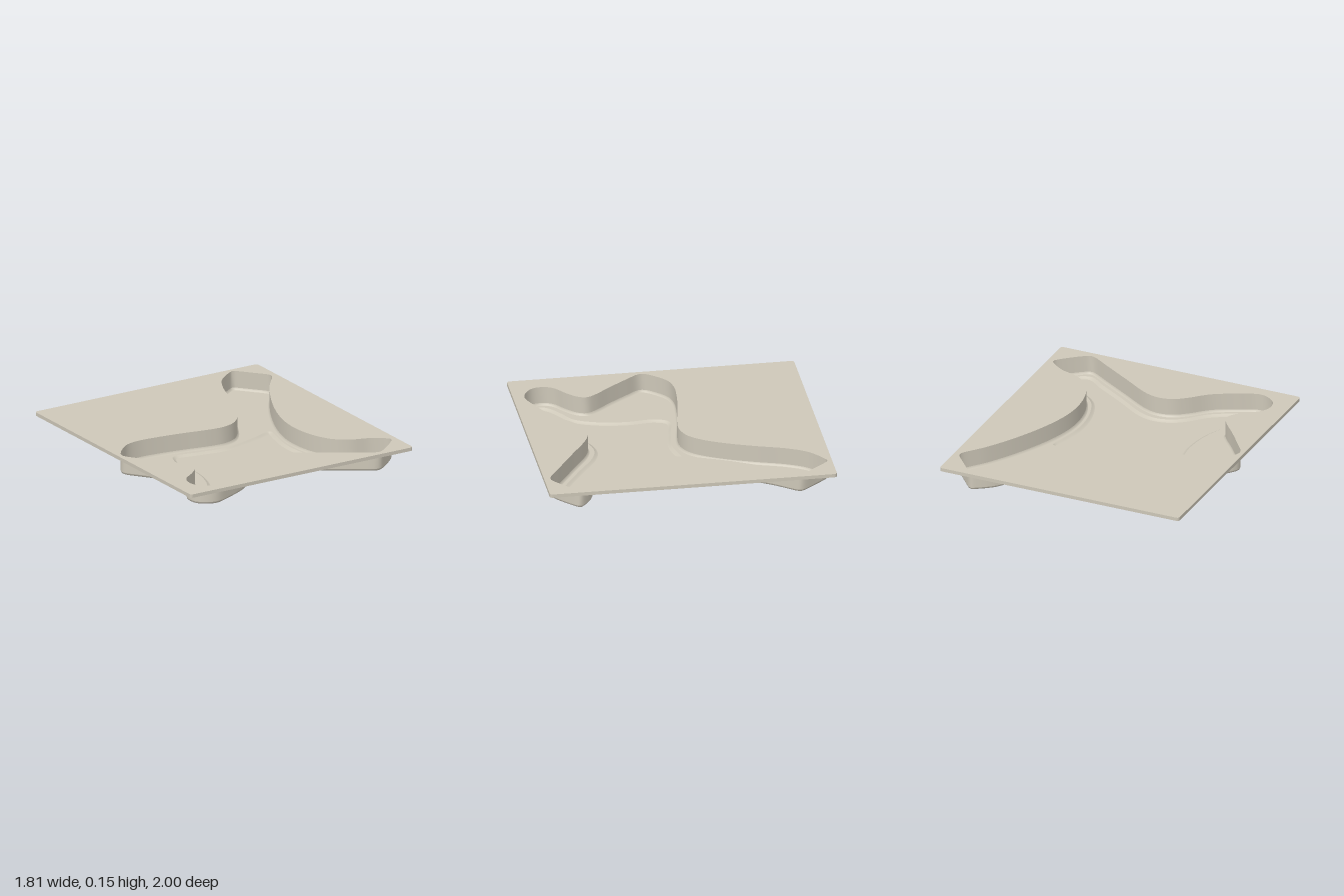
import * as THREE from 'three';

const TOP = 0.155, LIP = 0.13, FLOOR = 0.018, LOW = 0.004;

// Outline of the cavity as [x, z], counterclockwise seen from above
const CAVITY = [
  [0.68, -0.97], [0.66, -0.96], [0.53, -0.86], [0.45, -0.72], [0.38, -0.52], [0.3, -0.32], [0.21, -0.16],
  [0.13, -0.08], [0.03, -0.045], [-0.08, -0.05], [-0.3, -0.09], [-0.5, -0.115], [-0.62, -0.12],
  [-0.72, -0.1], [-0.8, -0.04], [-0.87, 0.05], [-0.87, 0.09], [-0.8, 0.19], [-0.7, 0.32],
  [-0.6, 0.44], [-0.57, 0.5], [-0.59, 0.56], [-0.66, 0.63], [-0.75, 0.7], [-0.78, 0.77],
  [-0.765, 0.85], [-0.7, 0.905], [-0.63, 0.92], [-0.5, 0.87], [-0.33, 0.78], [-0.2, 0.66],
  [-0.12, 0.605], [-0.02, 0.585], [0.08, 0.61], [0.3, 0.745], [0.5, 0.87], [0.64, 0.955],
  [0.67, 0.955], [0.86, 0.795], [0.865, 0.775], [0.76, 0.69], [0.62, 0.64], [0.52, 0.56],
  [0.46, 0.44], [0.43, 0.3], [0.43, 0.15], [0.46, 0], [0.52, -0.17], [0.62, -0.38],
  [0.74, -0.58], [0.86, -0.74], [0.862, -0.765], [0.78, -0.87], [0.695, -0.965],
];

// Outline of the slightly deeper area in the floor
const RECESS = [
  [0.45, -0.12], [0.3, -0.075], [0.15, -0.03], [0, 0], [-0.2, -0.025], [-0.38, -0.045], [-0.43, 0.05],
  [-0.42, 0.25], [-0.45, 0.45], [-0.52, 0.6], [-0.62, 0.665], [-0.71, 0.73], [-0.745, 0.79],
  [-0.72, 0.86], [-0.63, 0.89], [-0.5, 0.835], [-0.33, 0.74], [-0.2, 0.61], [-0.12, 0.56],
  [-0.01, 0.54], [0.1, 0.57], [0.3, 0.7], [0.5, 0.825], [0.65, 0.915], [0.82, 0.785],
  [0.74, 0.725], [0.6, 0.67], [0.49, 0.58], [0.43, 0.45], [0.4, 0.3], [0.4, 0.15], [0.43, 0],
];

// Smooth closed loop of plan points (x, -z)
function smoothLoop(points, count) {
  const curve = new THREE.CatmullRomCurve3(points.map(([x, z]) => new THREE.Vector3(x, -z, 0)), true, 'centripetal');
  return curve.getSpacedPoints(count).slice(0, count).map(p => new THREE.Vector2(p.x, p.y));
}

// Move a counterclockwise loop inward
function inset(loop, d) {
  const n = loop.length;
  return loop.map((p, i) => {
    const t = loop[(i + 1) % n].clone().sub(loop[(i + n - 1) % n]).normalize();
    return new THREE.Vector2(p.x - t.y * d, p.y + t.x * d);
  });
}

// Flat horizontal sheet, optionally with a hole
function sheet(loop, y, hole) {
  const shape = new THREE.Shape(loop);
  if (hole) shape.holes.push(new THREE.Path(hole));
  return new THREE.ShapeGeometry(shape).rotateX(-Math.PI / 2).translate(0, y, 0);
}

// Skin through rows of [inset, height] around a loop
function skirt(loop, rows) {
  const n = loop.length, pos = [], idx = [];
  rows.forEach(([d, y]) => inset(loop, d).forEach(p => pos.push(p.x, y, -p.y)));
  for (let r = 0; r < rows.length - 1; r++) {
    for (let i = 0; i < n; i++) {
      const a = r * n + i, b = r * n + (i + 1) % n;
      idx.push(a, a + n, b, b, a + n, b + n);
    }
  }
  const geo = new THREE.BufferGeometry();
  geo.setAttribute('position', new THREE.Float32BufferAttribute(pos, 3));
  geo.setIndex(idx);
  geo.computeVertexNormals();
  return geo;
}

// Rounded rectangle of the plate
function plateLoop(w, h, r) {
  const loop = [];
  [[1, 1], [-1, 1], [-1, -1], [1, -1]].forEach(([sx, sy], k) => {
    for (let i = 0; i <= 5; i++) {
      const a = (k + i / 5) * Math.PI / 2;
      loop.push(new THREE.Vector2(sx * (w - r) + r * Math.cos(a), sy * (h - r) + r * Math.sin(a)));
    }
  });
  return loop;
}

export function createModel() {
  const group = new THREE.Group();
  const plastic = new THREE.MeshStandardMaterial({ color: 0xcdc7b8, side: THREE.DoubleSide });
  plastic.name = 'warm grey plastic';
  const add = (name, geo) => {
    const mesh = new THREE.Mesh(geo, plastic);
    mesh.name = name;
    group.add(mesh);
  };

  const edge = plateLoop(0.905, 1, 0.02);
  const cavity = smoothLoop(CAVITY, 260);
  const recess = smoothLoop(RECESS, 200);

  // Top plate with its downturned lip
  add('topPlate', sheet(edge, TOP, cavity));
  add('plateLip', skirt(edge, [[0, TOP], [0, LIP]]));

  // Cavity wall, straight and then rounded into the floor
  add('cavityWall', skirt(cavity, [[0, TOP], [0, 0.034]]));
  add('wallFillet', skirt(cavity, [[0, 0.034], [0.004, 0.023], [0.012, FLOOR]]));

  // Floor with a shallow deeper area
  add('floor', sheet(inset(cavity, 0.012), FLOOR, recess));
  add('recessSlope', skirt(recess, [[0, FLOOR], [0.008, 0.013], [0.016, 0.007], [0.024, LOW]]));
  add('recessFloor', sheet(inset(recess, 0.024), LOW));

  group.position.y = -LOW;
  const root = new THREE.Group();
  root.name = 'mouldedTray';
  group.name = 'tray';
  root.add(group);
  return root;
}
